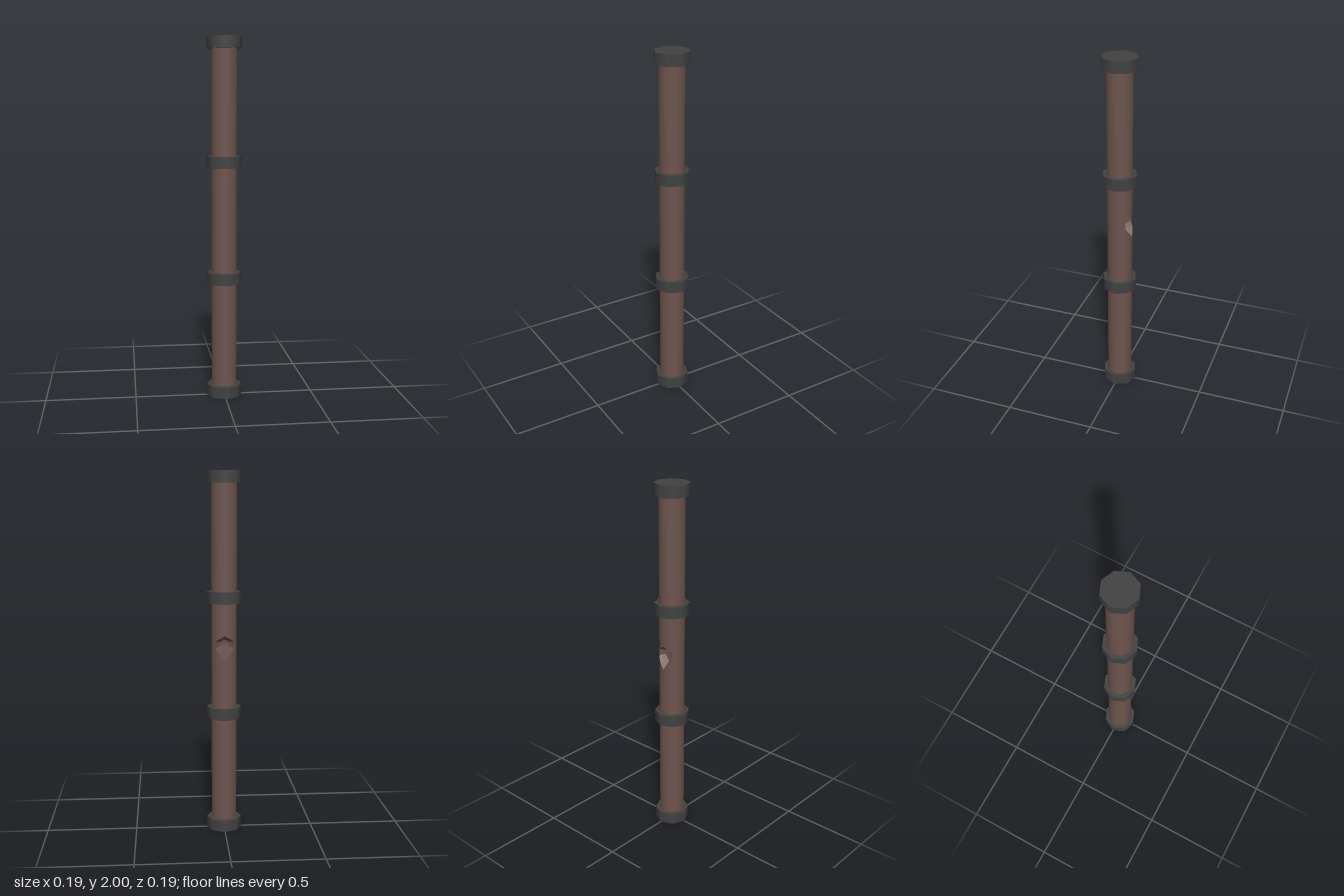
import * as THREE from 'three';

const R = 0.07, H = 2, HOLE = Math.PI / 4;

// point on the pipe wall; angle 0 is the middle of the back
const wall = (a, y) => [Math.sin(a) * R, y, -Math.cos(a) * R];

function surface(positions, normals) {
  const g = new THREE.BufferGeometry();
  g.setAttribute('position', new THREE.Float32BufferAttribute(positions, 3));
  if (normals) g.setAttribute('normal', new THREE.Float32BufferAttribute(normals, 3));
  else g.computeVertexNormals();
  return g;
}

export function createModel() {
  const brown = new THREE.MeshStandardMaterial({ color: 0x6d544d });
  const iron = new THREE.MeshStandardMaterial({ color: 0x424242 });
  const model = new THREE.Group();
  const add = (name, geometry, material, y = 0) => {
    const mesh = new THREE.Mesh(geometry, material);
    mesh.name = name;
    mesh.position.y = y;
    model.add(mesh);
  };

  // main pipe, open at the back where the hole is
  add('pipe', new THREE.CylinderGeometry(R, R, H - 0.02, 18, 1, true,
    Math.PI + HOLE, Math.PI * 2 - HOLE * 2), brown, H / 2);

  // back strip of the pipe, wrapped around a six-sided hole
  const columns = [];
  for (let i = -3; i <= 3; i++) {
    const t = Math.abs(i) / 3;
    columns.push({ a: i / 3 * HOLE, low: 0.98 + 0.065 * t, high: 1.115 - 0.03 * t });
  }
  const pos = [], nor = [];
  for (let i = 0; i < columns.length - 1; i++) {
    const p = columns[i], q = columns[i + 1];
    for (const [p0, p1, q0, q1] of [[0.01, p.low, 0.01, q.low], [p.high, H - 0.01, q.high, H - 0.01]]) {
      for (const [a, y] of [[p.a, p0], [p.a, p1], [q.a, q1], [p.a, p0], [q.a, q1], [q.a, q0]]) {
        pos.push(...wall(a, y));
        nor.push(Math.sin(a), 0, -Math.cos(a));
      }
    }
  }
  add('pipeBack', surface(pos, nor), brown);

  // faceted hollow: rim drops to a smaller floor inside the pipe
  const rim = [
    ...columns.map(c => wall(c.a, c.low)),
    ...columns.map(c => wall(c.a, c.high)).reverse(),
  ];
  const floor = rim.map(([x, y]) => [x * 0.55, 1.06 + (y - 1.06) * 0.55, -0.022]);
  const pit = [];
  rim.forEach((p, i) => {
    const j = (i + 1) % rim.length;
    pit.push(...p, ...floor[j], ...floor[i], ...p, ...rim[j], ...floor[j]);
    pit.push(...floor[i], ...floor[j], 0, 1.06, -0.018);
  });
  const pitMaterial = brown.clone();
  pitMaterial.name = 'brownInside';
  pitMaterial.side = THREE.DoubleSide;
  add('hole', surface(pit), pitMaterial);

  // eight-sided collars, evenly spaced from end to end
  for (let i = 0; i < 4; i++) {
    add('collar' + (i + 1), new THREE.CylinderGeometry(0.097, 0.097, 0.064, 8),
      iron, 0.032 + i * (H - 0.064) / 3);
  }

  brown.name = 'brown';
  iron.name = 'darkIron';
  return model;
}
